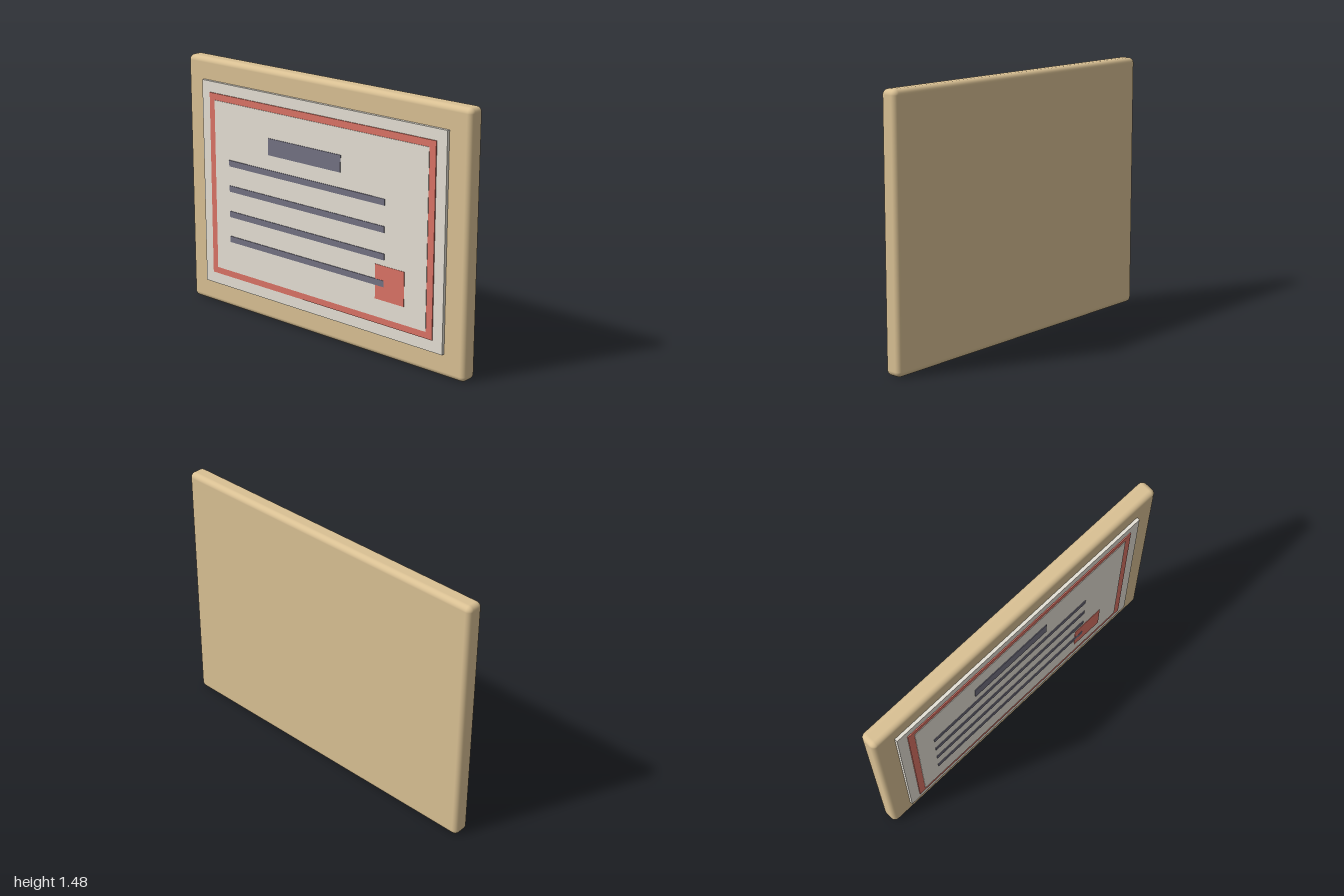
import * as THREE from 'three';
import { RoundedBoxGeometry } from 'three/addons/geometries/RoundedBoxGeometry.js';

function material(name, color) {
  const m = new THREE.MeshStandardMaterial({ color });
  m.name = name;
  return m;
}

export function createModel() {
  const group = new THREE.Group();
  group.name = 'framedCertificate';

  const wood = material('tan wood', 0xdac194);
  const paper = material('cream paper', 0xe6e1d6);
  const red = material('red', 0xdc7466);
  const ink = material('slate ink', 0x747283);

  // Flat plate given by its edges
  function plate(name, mat, x0, x1, y0, y1, z0, z1) {
    const mesh = new THREE.Mesh(new THREE.BoxGeometry(x1 - x0, y1 - y0, z1 - z0), mat);
    mesh.position.set((x0 + x1) / 2, (y0 + y1) / 2, (z0 + z1) / 2);
    mesh.name = name;
    group.add(mesh);
  }

  // Backing board with rounded edges
  const height = 1.475;
  const board = new THREE.Mesh(new RoundedBoxGeometry(2, height, 0.102, 4, 0.03), wood);
  board.position.set(0, height / 2, -0.015);
  board.name = 'backingBoard';
  group.add(board);

  // Sheet, red border and inner panel, stacked towards the front
  plate('paperSheet', paper, -0.87, 0.867, 0.132, 1.348, 0.03, 0.054);
  plate('redBorder', red, -0.807, 0.803, 0.2, 1.284, 0.053, 0.06);
  plate('innerPanel', paper, -0.766, 0.762, 0.239, 1.245, 0.058, 0.063);

  // Seal
  plate('seal', red, 0.42, 0.617, 0.342, 0.539, 0.062, 0.0655);

  // Title bar and lines of writing
  plate('titleBar', ink, -0.35, 0.175, 0.998, 1.095, 0.062, 0.067);
  [0.894, 0.743, 0.59, 0.438].forEach((y, i) => {
    plate(`textLine${i + 1}`, ink, -0.655, 0.48, y - 0.018, y + 0.018, 0.062, 0.067);
  });

  return group;
}
